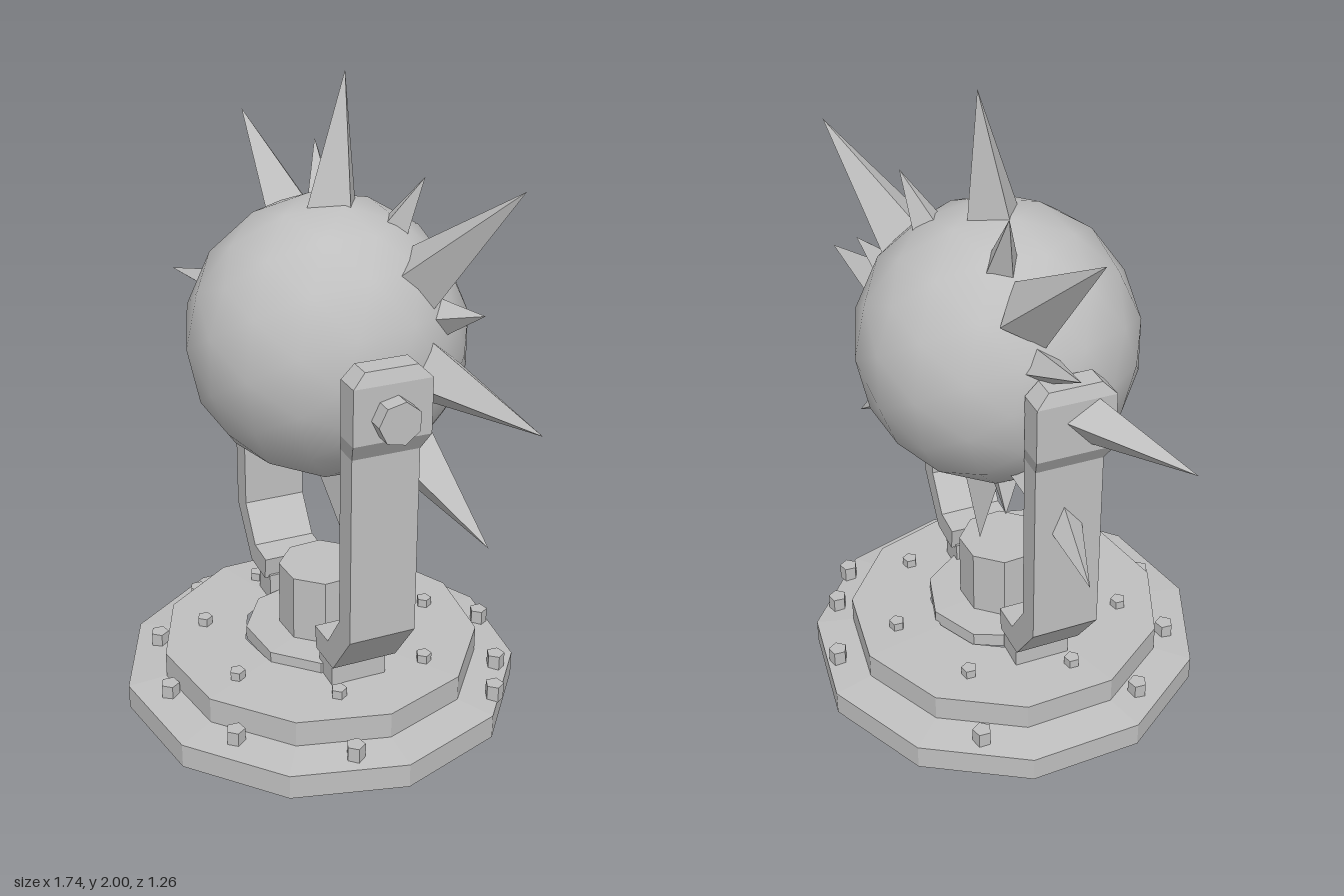
import * as THREE from 'three';

const grey = new THREE.MeshStandardMaterial({ color: 0xbfbfbf, side: THREE.DoubleSide });
grey.name = 'stone grey';

function add(parent, name, geometry, flat = true) {
  let g = geometry;
  if (flat) {
    if (g.index) g = g.toNonIndexed();
    g.computeVertexNormals();
  }
  const mesh = new THREE.Mesh(g, grey);
  mesh.name = name;
  parent.add(mesh);
  return mesh;
}

function lathe(points, sides, start) {
  return new THREE.LatheGeometry(points.map(p => new THREE.Vector2(...p)), sides, start);
}

// Skins four-cornered sections [outer x, outer y, inner x, inner y, width]
function armGeometry(sections) {
  const pos = [], idx = [];
  for (const [ox, oy, ix, iy, w] of sections) {
    pos.push(ox, oy, w / 2, ox, oy, -w / 2, ix, iy, -w / 2, ix, iy, w / 2);
  }
  const last = (sections.length - 1) * 4;
  for (let s = 0; s < last; s += 4) {
    for (let k = 0; k < 4; k++) {
      const a = s + k, b = s + (k + 1) % 4;
      idx.push(a, b, b + 4, a, b + 4, a + 4);
    }
  }
  idx.push(0, 2, 1, 0, 3, 2, last, last + 1, last + 2, last, last + 2, last + 3);
  const g = new THREE.BufferGeometry();
  g.setAttribute('position', new THREE.Float32BufferAttribute(pos, 3));
  g.setIndex(idx);
  return g;
}

// Four-sided spike from a base point to its tip
function addSpike(parent, name, base, tip, radius) {
  const a = new THREE.Vector3(...base), b = new THREE.Vector3(...tip);
  const length = a.distanceTo(b);
  const g = new THREE.ConeGeometry(radius, length, 4);
  g.translate(0, length / 2, 0);
  const mesh = add(parent, name, g);
  mesh.position.copy(a);
  mesh.quaternion.setFromUnitVectors(new THREE.Vector3(0, 1, 0), b.sub(a).normalize());
}

export function createModel() {
  const model = new THREE.Group();
  model.name = 'spikedBallOnStand';

  // Hollow stepped base, open underneath
  const base = new THREE.Group();
  base.name = 'base';
  model.add(base);
  const turn = Math.PI - 0.08;
  add(base, 'steppedPlate', lathe([[0.64, 0], [0.64, 0.08], [0.515, 0.095], [0.515, 0.18], [0.25, 0.185]], 11, turn));
  const hub = add(base, 'hubRing', lathe([[0.25, 0.175], [0.25, 0.22], [0.13, 0.222]], 9, 0.2));
  const post = add(base, 'centrePost', lathe([[0.14, 0.2], [0.14, 0.44], [0, 0.44]], 8, 0.2));
  hub.position.x = post.position.x = 0.015;

  // Bolts on the two steps
  const lowerBolts = [[0.18, -0.55], [0.41, -0.41], [0.53, -0.29], [-0.4, -0.39], [-0.53, 0.13],
    [-0.37, 0.39], [-0.1, 0.52], [0.22, 0.49], [0.5, 0.25]];
  for (const [x, z] of lowerBolts) {
    add(base, 'lowerBolt', new THREE.CylinderGeometry(0.03, 0.03, 0.055, 5)).position.set(x, 0.105, z);
  }
  for (let i = 0; i < 7; i++) {
    const a = 0.5 + i * Math.PI * 2 / 7;
    add(base, 'upperBolt', new THREE.CylinderGeometry(0.025, 0.025, 0.04, 5))
      .position.set(Math.cos(a) * 0.38, 0.19, Math.sin(a) * 0.38);
  }

  // Yoke: two bent arms on feet, turned about the upright axis
  const yoke = new THREE.Group();
  yoke.name = 'yoke';
  yoke.rotation.y = -0.26;
  model.add(yoke);
  const armSections = [
    [0.505, 1.31, 0.435, 1.31, 0.16],
    [0.52, 1.27, 0.435, 1.27, 0.24],
    [0.52, 1.1, 0.435, 1.1, 0.24],
    [0.48, 1.04, 0.4, 1.04, 0.21],
    [0.48, 0.44, 0.4, 0.47, 0.21],
    [0.355, 0.275, 0.315, 0.35, 0.21],
    [0.225, 0.27, 0.215, 0.345, 0.21],
  ];
  for (const side of [0, 1]) {
    const arm = new THREE.Group();
    arm.name = side ? 'rightArm' : 'leftArm';
    arm.rotation.y = side * Math.PI;
    yoke.add(arm);
    add(arm, 'bentArm', armGeometry(armSections));
    add(arm, 'foot', new THREE.BoxGeometry(0.1, 0.1, 0.18)).position.set(0.265, 0.23, 0);
  }
  // Pivot bolt on the left arm only
  const pivot = add(yoke, 'pivotBolt', new THREE.CylinderGeometry(0.066, 0.066, 0.07, 7));
  pivot.rotation.z = Math.PI / 2;
  pivot.position.set(0.535, 1.17, 0);

  // Ball
  add(model, 'ball', new THREE.IcosahedronGeometry(0.432, 2), false).position.set(-0.01, 1.21, -0.035);

  // Spikes in a ring: large ones every eighth, small ones between
  const spikes = new THREE.Group();
  spikes.name = 'spikes';
  model.add(spikes);
  const large = [
    [[0, 1.57, -0.04], [-0.01, 2, -0.1]],
    [[0, 0.84, -0.07], [0, 0.49, -0.1]],
    [[0.38, 1.2, -0.11], [0.865, 1.19, -0.07]],
    [[-0.38, 1.2, -0.1], [-0.87, 1.19, -0.03]],
    [[0.29, 1.45, -0.14], [0.6, 1.76, -0.23]],
    [[-0.31, 1.46, -0.15], [-0.66, 1.76, -0.19]],
    [[0.3, 0.94, -0.1], [0.6, 0.7, -0.16]],
    [[-0.31, 0.95, -0.1], [-0.6, 0.7, -0.15]],
  ];
  for (const [from, to] of large) addSpike(spikes, 'largeSpike', from, to, 0.1);
  const small = [
    [[0.14, 1.54, -0.16], [0.22, 1.72, -0.21]],
    [[-0.18, 1.54, -0.15], [-0.27, 1.74, -0.19]],
    [[0.34, 1.34, -0.17], [0.51, 1.39, -0.19]],
    [[-0.36, 1.33, -0.16], [-0.59, 1.4, -0.2]],
    [[0.14, 0.88, -0.14], [0.2, 0.76, -0.18]],
    [[-0.17, 0.88, -0.13], [-0.23, 0.75, -0.17]],
  ];
  for (const [from, to] of small) addSpike(spikes, 'smallSpike', from, to, 0.06);

  return model;
}
